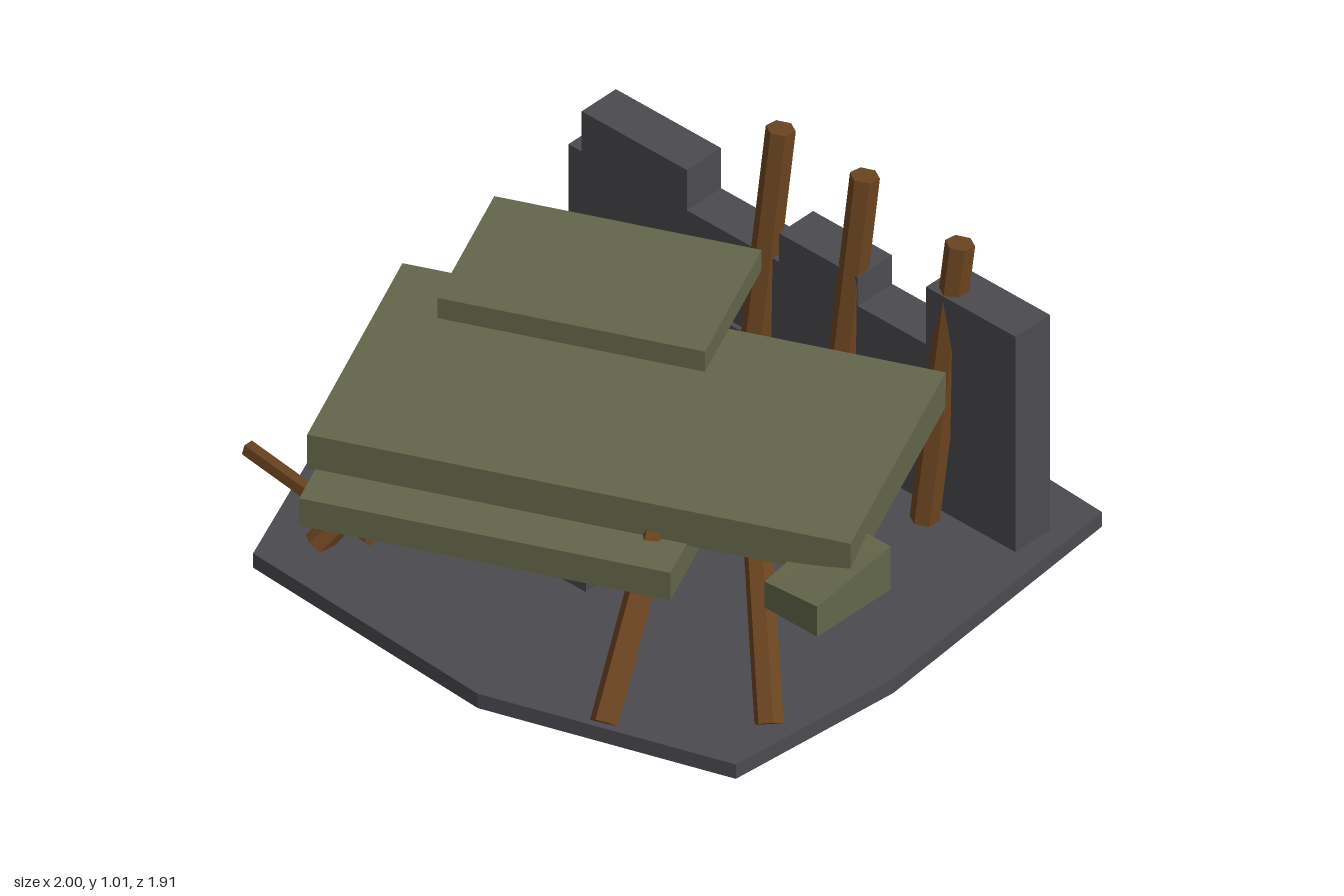
import * as THREE from 'three';

export function createModel() {
  const root = new THREE.Group();
  const mat = (name, color) => Object.assign(new THREE.MeshStandardMaterial({ color }), { name, flatShading: true });
  const stone = mat('dark stone', 0x4b4b50);
  const canvas = mat('olive slab', 0x63664a);
  const wood = mat('brown wood', 0x6b4420);

  const add = (name, geo, material) => {
    const mesh = new THREE.Mesh(geo, material);
    mesh.name = name;
    root.add(mesh);
    return mesh;
  };
  // Box given by its minimum and maximum corners
  const block = (name, [x0, y0, z0], [x1, y1, z1], material) => {
    const mesh = add(name, new THREE.BoxGeometry(x1 - x0, y1 - y0, z1 - z0), material);
    mesh.position.set((x0 + x1) / 2, (y0 + y1) / 2, (z0 + z1) / 2);
    return mesh;
  };
  // Six-sided pole between two points
  const pole = (name, from, to, r) => {
    const a = new THREE.Vector3(...from), b = new THREE.Vector3(...to);
    const d = b.clone().sub(a);
    const mesh = add(name, new THREE.CylinderGeometry(r, r, d.length(), 6), wood);
    mesh.position.copy(a).add(b).multiplyScalar(0.5);
    mesh.quaternion.setFromUnitVectors(new THREE.Vector3(0, 1, 0), d.normalize());
    return mesh;
  };

  // Irregular ground plate
  const outline = [[0, -0.96], [0.9, -0.91], [1, 0.05], [0.95, 0.64], [0.2, 0.89], [-0.7, 0.84], [-1, 0.14], [-0.95, -0.66]];
  const shape = new THREE.Shape(outline.map(([x, z]) => new THREE.Vector2(x, -z)));
  const plate = new THREE.ExtrudeGeometry(shape, { depth: 0.05, bevelEnabled: false });
  plate.rotateX(-Math.PI / 2);
  add('groundPlate', plate, stone);

  // Broken rear wall as one stepped silhouette
  const steps = [[-0.85, 0.6], [-0.8, 0.74], [-0.4, 0.6], [-0.05, 0.7], [0.25, 0.6], [0.51, 0.8]];
  const wall = new THREE.Shape();
  wall.moveTo(-0.85, 0);
  wall.lineTo(0.85, 0);
  for (let i = steps.length - 1; i >= 0; i--) {
    wall.lineTo(i === steps.length - 1 ? 0.85 : steps[i + 1][0], steps[i][1]);
    wall.lineTo(steps[i][0], steps[i][1]);
  }
  const wallGeo = new THREE.ExtrudeGeometry(wall, { depth: 0.14, bevelEnabled: false });
  wallGeo.translate(0, 0, -0.75);
  add('rearWall', wallGeo, stone);
  block('wallPatch', [-0.53, 0.04, -0.62], [0, 0.3, -0.595], stone);

  // Stone block under the slabs
  block('supportBlock', [-0.4, 0.04, -0.05], [0.1, 0.42, 0.34], stone);

  // Stacked, turned roof slabs: name, size, centre
  for (const [name, size, centre] of [
    ['lowerSlab', [1.09, 0.095, 0.385], [-0.005, 0.398, 0.55]],
    ['mainSlab', [1.595, 0.12, 0.837], [0.05, 0.5, 0.12]],
    ['upperSlab', [0.785, 0.07, 0.497], [-0.35, 0.595, -0.2]],
  ]) {
    const slab = add(name, new THREE.BoxGeometry(...size), canvas);
    slab.position.set(...centre);
    slab.rotation.y = 0.427;
  }

  // Small fragment with a top that rises to the back
  const chip = new THREE.BoxGeometry(0.2, 0.1, 0.3);
  const p = chip.attributes.position;
  for (let i = 0; i < p.count; i++) {
    if (p.getY(i) > 0) p.setY(i, p.getZ(i) < 0 ? 0.1 : p.getX(i) > 0 ? 0.055 : 0.04);
  }
  chip.computeVertexNormals();
  add('slabFragment', chip, canvas).position.set(0.88, 0.395, 0.19);

  // Rear posts leaning on the wall: bottom x, top x, top y
  for (const [x0, x1, y] of [[-0.12, -0.105, 1], [0.2, 0.215, 1], [0.56, 0.577, 0.95]]) {
    pole('rearPost', [x0, 0.05, -0.55], [x1, y, -0.677], 0.043);
  }

  // Slanted front props
  pole('frontProp', [-0.6, 0.05, 0.69], [-0.4, 0.44, 0.38], 0.04);
  pole('frontProp', [0.55, 0.05, 0.75], [0.41, 0.44, 0.39], 0.04);
  pole('sideProp', [0.89, 0.05, 0.44], [0.655, 0.41, 0.23], 0.042);

  // Loose pole lying across the front corner
  pole('loosePole', [-0.9, 0.2, 0.64], [-0.35, 0.225, 0.73], 0.027);

  return root;
}
